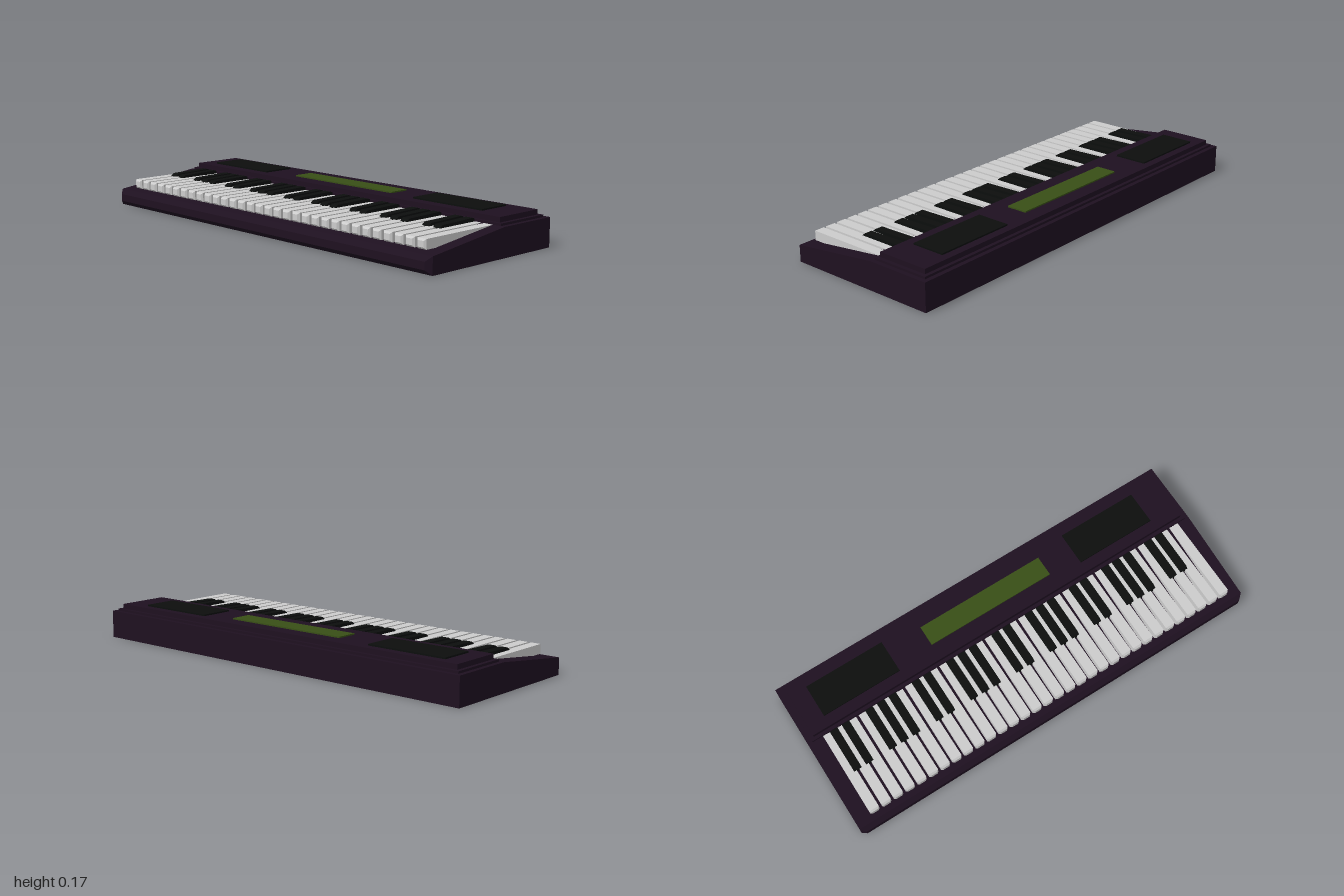
import * as THREE from 'three';

const mat = (color) => new THREE.MeshStandardMaterial({ color, flatShading: true });

// Extrudes a (z, y) side profile across x, centred on x = 0
function sideExtrude(points, width) {
  const shape = new THREE.Shape(points.map(([z, y]) => new THREE.Vector2(-z, y)));
  const geo = new THREE.ExtrudeGeometry(shape, { depth: width, bevelEnabled: false });
  return geo.translate(0, 0, -width / 2).rotateY(Math.PI / 2);
}

// Box whose front (+z) face is drawn in to leave chamfered edges
function chamferedFront(w, h, d, inset, depth) {
  const geo = new THREE.BoxGeometry(w, h, d, 1, 1, 2);
  const p = geo.attributes.position;
  for (let i = 0; i < p.count; i++) {
    const z = p.getZ(i);
    if (z > d / 4) {
      p.setX(i, p.getX(i) - Math.sign(p.getX(i)) * inset);
      p.setY(i, p.getY(i) - Math.sign(p.getY(i)) * inset);
    } else if (z > -d / 4) p.setZ(i, d / 2 - depth);
  }
  geo.computeVertexNormals();
  return geo;
}

export function createModel() {
  const model = new THREE.Group();
  const bodyMat = mat(0x1e1020);
  const blackMat = mat(0x0c0e0d);
  const whiteMat = mat(0xcccccc);
  const screenMat = mat(0x384f16);

  const add = (name, geo, material, x = 0, y = 0, z = 0, parent = model) => {
    const mesh = new THREE.Mesh(geo, material);
    mesh.name = name;
    mesh.position.set(x, y, z);
    parent.add(mesh);
    return mesh;
  };
  // Block given by its limits on each axis
  const block = (name, material, x0, x1, y0, y1, z0, z1) =>
    add(name, new THREE.BoxGeometry(x1 - x0, y1 - y0, z1 - z0), material,
      (x0 + x1) / 2, (y0 + y1) / 2, (z0 + z1) / 2);

  // Wedge-shaped case with a chamfered front lip
  add('case', sideExtrude([
    [0.348, 0], [0.348, 0.075], [-0.073, 0.127], [-0.368, 0.127], [-0.368, 0],
  ], 2), bodyMat);
  add('frontLip', chamferedFront(2, 0.075, 0.04, 0.021, 0.021), bodyMat, 0, 0.0375, 0.349);

  // Stepped control panel
  block('panelBase', bodyMat, -0.98, 0.98, 0.12, 0.137, -0.348, -0.075);
  block('panelTop', bodyMat, -0.963, 0.963, 0.13, 0.159, -0.332, -0.09);
  block('rightSpeaker', blackMat, -0.88, -0.5, 0.15, 0.166, -0.295, -0.14);
  block('leftSpeaker', blackMat, 0.45, 0.83, 0.15, 0.166, -0.295, -0.14);
  block('screen', screenMat, -0.32, 0.3, 0.15, 0.165, -0.262, -0.166);

  // Keys, in octaves of seven white and five black
  const keys = new THREE.Group();
  keys.name = 'keys';
  model.add(keys);
  const count = 32, first = -0.905, pitch = 1.822 / (count - 1);
  const whiteGeo = chamferedFront(0.046, 0.042, 0.4, 0.008, 0.008);
  const blackGeo = sideExtrude([
    [0.134, 0.105], [0.134, 0.129], [0.121, 0.139], [0.06, 0.14],
    [-0.062, 0.143], [-0.072, 0.139], [-0.072, 0.105],
  ], 0.037);
  for (let i = 0; i < count; i++) {
    const x = first + i * pitch;
    add('whiteKey', whiteGeo, whiteMat, x, 0.106, 0.125, keys);
    if (i < count - 1 && [0, 1, 3, 4, 5].includes(i % 7)) {
      add('blackKey', blackGeo, blackMat, x + pitch / 2, 0, 0, keys);
    }
  }
  return model;
}
